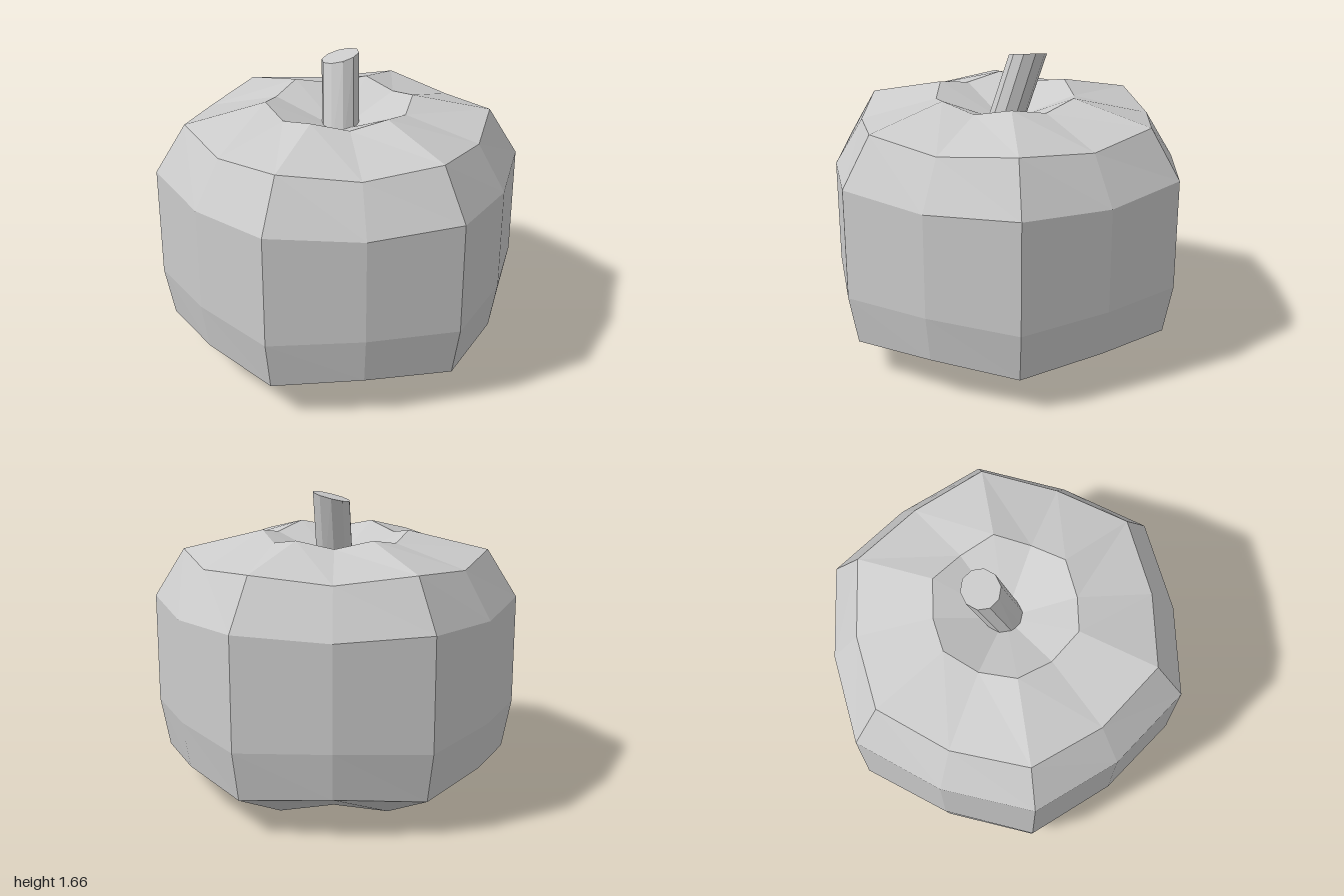
import * as THREE from 'three';

const SIDES = 12;

// Rings from the underside centre up to the sunken crown:
// [ridge radius, ridge y, valley radius, valley y]
const RINGS = [
  [0, 0.025, 0, 0.025],
  [0.575, 0, 0.53, 0.05],
  [0.95, 0.195, 0.89, 0.23],
  [1, 0.465, 0.93, 0.485],
  [1, 1.07, 0.93, 1.045],
  [0.835, 1.335, 0.78, 1.295],
  [0.4, 1.44, 0.375, 1.4],
  [0, 1.26, 0, 1.26],
];

// Ribbed shell: ridges and valleys alternate around each ring
function ribbedBody() {
  const positions = [];
  const index = [];
  for (const [ridgeR, ridgeY, valleyR, valleyY] of RINGS) {
    for (let j = 0; j < SIDES; j++) {
      const a = (j / SIDES) * Math.PI * 2;
      const r = j % 2 ? valleyR : ridgeR;
      positions.push(r * Math.cos(a), j % 2 ? valleyY : ridgeY, r * Math.sin(a));
    }
  }
  const last = RINGS.length - 2;
  for (let i = 0; i <= last; i++) {
    for (let j = 0; j < SIDES; j++) {
      const k = (j + 1) % SIDES;
      const a = i * SIDES + j, b = i * SIDES + k;
      const c = a + SIDES, d = b + SIDES;
      if (i < last) index.push(a, c, d);
      if (i > 0) index.push(a, d, b);
      else index.splice(-3, 3, a, c, d);
      if (i === last) index.splice(-3, 3, a, c, b);
    }
  }
  const geometry = new THREE.BufferGeometry();
  geometry.setAttribute('position', new THREE.Float32BufferAttribute(positions, 3));
  geometry.setIndex(index);
  geometry.computeVertexNormals();
  return geometry;
}

// Stem: a cylinder sheared backwards, with a slanted cut on top
function leaningStem() {
  const bottom = 1.2, top = 1.64;
  const geometry = new THREE.CylinderGeometry(0.102, 0.102, 1, 10);
  const p = geometry.attributes.position;
  for (let i = 0; i < p.count; i++) {
    const t = p.getY(i) + 0.5;
    const x = p.getX(i);
    p.setXYZ(
      i,
      x + 0.02 * t,
      bottom + (top - bottom) * t + 0.25 * x * t,
      p.getZ(i) + 0.02 - 0.14 * t
    );
  }
  geometry.computeVertexNormals();
  return geometry;
}

export function createModel() {
  const group = new THREE.Group();
  group.name = 'pumpkin';
  const material = new THREE.MeshStandardMaterial({ color: 0xcccccc, flatShading: true });

  const body = new THREE.Mesh(ribbedBody(), material);
  body.name = 'body';
  const stem = new THREE.Mesh(leaningStem(), material);
  stem.name = 'stem';

  group.add(body, stem);
  return group;
}
